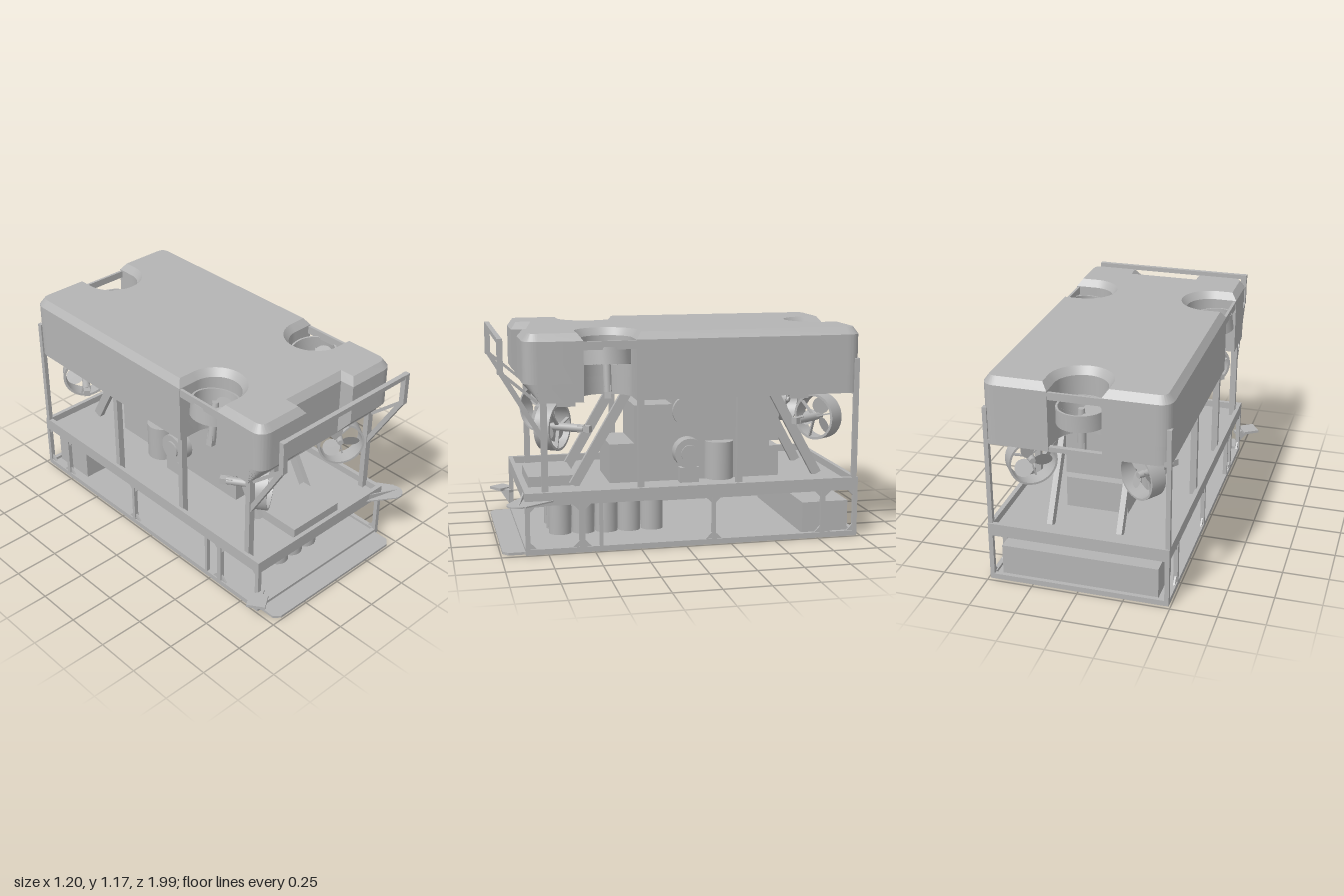
import * as THREE from 'three';
import { toCreasedNormals } from 'three/addons/utils/BufferGeometryUtils.js';

const grey = new THREE.MeshStandardMaterial({ color: 0xb4b4b4, side: THREE.DoubleSide });
grey.name = 'grey';
const V = (x, y, z) => new THREE.Vector3(x, y, z);

export function createModel() {
  const root = new THREE.Group();
  root.name = 'underwaterVehicle';

  function add(name, geo, parent = root) {
    const m = new THREE.Mesh(geo, grey);
    m.name = name;
    parent.add(m);
    return m;
  }
  // box from its limits on each axis
  function box(name, x0, x1, y0, y1, z0, z1) {
    const m = add(name, new THREE.BoxGeometry(x1 - x0, y1 - y0, z1 - z0));
    m.position.set((x0 + x1) / 2, (y0 + y1) / 2, (z0 + z1) / 2);
    return m;
  }
  // square bar between two points
  function beam(name, a, b, w, h = w) {
    const m = add(name, new THREE.BoxGeometry(w, h, a.distanceTo(b)));
    m.position.copy(a).lerp(b, 0.5);
    m.lookAt(b);
    return m;
  }
  function cylinder(name, r, h, x, y, z, axis = 'y') {
    const g = new THREE.CylinderGeometry(r, r, h, 32);
    if (axis === 'x') g.rotateZ(Math.PI / 2);
    if (axis === 'z') g.rotateX(Math.PI / 2);
    const m = add(name, g);
    m.position.set(x, y, z);
    return m;
  }
  // upright extrusion of a plan outline drawn as (x, -z)
  function slab(name, shape, y, options) {
    const g = new THREE.ExtrudeGeometry(shape, { bevelEnabled: false, curveSegments: 20, ...options });
    g.rotateX(-Math.PI / 2).translate(0, y, 0);
    return add(name, toCreasedNormals(g, 0.5));
  }
  // small triangular plate in the side plane
  function gusset(x, y, z, dy, dz) {
    const s = new THREE.Shape([new THREE.Vector2(0, 0), new THREE.Vector2(dz, 0), new THREE.Vector2(0, dy)]);
    const g = new THREE.ExtrudeGeometry(s, { depth: 0.01, bevelEnabled: false });
    add('gusset', g.rotateY(-Math.PI / 2).translate(x + 0.005, y, z));
  }

  // Float block: plan outline with three round thruster bays and a front notch
  const W = 0.49, F = -0.865, B = 0.98, r = 0.08, P = Math.PI;
  const plan = new THREE.Shape();
  plan.moveTo(0.175, F);
  plan.lineTo(W - r, F);
  plan.quadraticCurveTo(W, F, W, F + r);
  plan.lineTo(W, -0.55);
  plan.lineTo(0.37, -0.55);
  plan.absarc(0.37, -0.41, 0.14, -P / 2, P / 2, true);
  plan.lineTo(W, -0.27);
  plan.lineTo(W, B - r);
  plan.quadraticCurveTo(W, B, W - r, B);
  plan.lineTo(0.14, B);
  plan.absarc(0, 0.87, 0.14, 0, P, true);
  plan.lineTo(-0.14, B);
  plan.lineTo(r - W, B);
  plan.quadraticCurveTo(-W, B, -W, B - r);
  plan.lineTo(-W, -0.27);
  plan.lineTo(-0.37, -0.27);
  plan.absarc(-0.37, -0.41, 0.14, P / 2, -P / 2, true);
  plan.lineTo(-W, -0.55);
  plan.lineTo(-W, F + r);
  plan.quadraticCurveTo(-W, F, r - W, F);
  plan.lineTo(-0.175, F);
  plan.lineTo(-0.175, -0.78);
  plan.lineTo(0.175, -0.78);
  plan.closePath();
  slab('floatTop', plan, 1.13, { depth: 0.001, bevelEnabled: true, bevelThickness: 0.04, bevelSize: 0.03, bevelOffset: -0.03, bevelSegments: 1 });
  slab('floatBody', plan, 0.91, { depth: 0.22 });
  // lower part slopes back under the nose
  const lower = slab('floatLower', plan, 0.81, { depth: 0.1 });
  const lp = lower.geometry.attributes.position;
  for (let i = 0; i < lp.count; i++) {
    if (lp.getY(i) < 0.85) lp.setZ(i, Math.min(lp.getZ(i), 0.78));
  }
  lower.geometry = toCreasedNormals(lower.geometry, 0.5);

  // Ducted thruster, opening along dir, with a motor behind the propeller
  const duct = [[0.13, -0.045], [0.13, 0.045], [0.119, 0.045], [0.116, -0.045], [0.13, -0.045]]
    .map(p => new THREE.Vector2(...p));
  function thruster(name, pos, dir) {
    const t = new THREE.Group();
    t.name = name;
    t.position.copy(pos);
    t.quaternion.setFromUnitVectors(V(0, 0, 1), dir.clone().normalize());
    root.add(t);
    add('duct', toCreasedNormals(new THREE.LatheGeometry(duct, 40).rotateX(P / 2), 0.5), t);
    add('hub', new THREE.CylinderGeometry(0.016, 0.022, 0.06, 20).rotateX(P / 2), t);
    add('motor', new THREE.CylinderGeometry(0.022, 0.022, 0.16, 20).rotateX(P / 2).translate(0, 0, -0.11), t);
    for (let i = 0; i < 3; i++) {
      const blade = new THREE.CircleGeometry(1, 20);
      blade.scale(0.047, 0.05, 1).rotateY(0.5).translate(0, 0.064, 0).rotateZ(i * 2 * P / 3 + 0.3);
      add('blade', blade, t);
      const strut = new THREE.BoxGeometry(0.008, 0.105, 0.02);
      add('strut', strut.translate(0, 0.066, -0.035).rotateZ(i * 2 * P / 3 + 1.3), t);
    }
    add('motorBracket', new THREE.BoxGeometry(0.035, 0.035, 0.07).translate(0, 0, -0.19), t);
  }
  for (const s of [-1, 1]) {
    for (const e of [-1, 1]) {
      thruster('horizontalThruster', V(s * 0.3, 0.655, e > 0 ? 0.695 : -0.805), V(-s * 0.57, 0, e * 0.82));
      box('thrusterHanger', s * 0.36 - 0.015, s * 0.36 + 0.015, 0.77, 0.81, e > 0 ? 0.58 : -0.72, e > 0 ? 0.68 : -0.62);
    }
    thruster('verticalThruster', V(s * 0.37, 1.035, 0.41), V(-s * 0.14, 1, 0));
  }
  thruster('rearVerticalThruster', V(0, 0.98, -0.865), V(0, 1, 0));

  // Side frames, mirrored
  for (const s of [-1, 1]) {
    const x = s * 0.478;
    beam('deckRail', V(x, 0.3, 0.87), V(x, 0.3, -0.98), 0.024, 0.07);
    beam('skidRail', V(x, 0.015, 0.87), V(x, 0.015, -0.98), 0.024, 0.03);
    for (const [z, w] of [[0.858, 0.024], [0.568, 0.03], [0.465, 0.018], [-0.155, 0.02], [-0.78, 0.025], [-0.968, 0.024]]) {
      box('lowerPost', x - 0.012, x + 0.012, 0.02, 0.28, z - w / 2, z + w / 2);
      for (const d of [-1, 1]) {
        if (Math.abs(z) > 0.85 && d * z > 0) continue;
        if (w < 0.02) continue;
        gusset(x, 0.265, z + d * w / 2, -0.035, d * 0.035);
        gusset(x, 0.03, z + d * w / 2, 0.035, d * 0.035);
      }
    }
    const u = s * 0.453;
    for (const z of [0.76, 0.243, -0.303]) {
      box('upperPost', u - 0.018, u + 0.018, 0.3, 0.83, z - 0.016, z + 0.016);
    }
    box('rearPost', x - 0.012, x + 0.012, 0.28, 1.0, -0.972, -0.945);
    beam('bayRail', V(s * 0.48, 1.105, 0.24), V(s * 0.48, 1.105, 0.58), 0.016, 0.045);
    // inner diagonal braces
    beam('frontBrace', V(s * 0.19, 0.81, 0.27), V(s * 0.19, 0.3, 0.57), 0.03, 0.055);
    beam('rearBrace', V(s * 0.19, 0.81, -0.56), V(s * 0.19, 0.3, -0.84), 0.03, 0.055);
    // bumper supports
    beam('bumperPost', V(u, 1.15, 0.98), V(u, 0.965, 0.98), 0.03);
    beam('bumperStay', V(u, 0.975, 0.98), V(u, 0.62, 0.768), 0.026);
    beam('bumperStay', V(u, 0.975, 0.98), V(u, 0.81, 0.79), 0.026, 0.015);
    // side pods
    cylinder('sidePod', 0.085, 0.08, s * 0.215, 0.46, -0.075, 'x');
    cylinder('upperPod', 0.085, 0.06, s * 0.17, 0.69, -0.075, 'x');
    cylinder('podCap', 0.05, 0.01, s * 0.26, 0.46, -0.075, 'x');
    box('podFoot', s * 0.225 - 0.025, s * 0.225 + 0.025, 0.29, 0.38, -0.13, -0.02);
    cylinder('canister', 0.083, 0.215, s * 0.17, 0.407, -0.262);
  }
  beam('bumperBar', V(-0.47, 1.137, 0.98), V(0.47, 1.137, 0.98), 0.026);
  box('rearBayRail', -0.2, 0.2, 1.085, 1.125, -0.975, -0.96);
  for (const z of [0.858, -0.968]) {
    box('deckCrossRail', -0.49, 0.49, 0.265, 0.335, z - 0.012, z + 0.012);
    box('skidCrossRail', -0.49, 0.49, 0, 0.03, z - 0.012, z + 0.012);
  }
  box('topCrossRail', -0.47, 0.47, 0.8, 0.83, 0.745, 0.775);
  box('rearCrossRail', -0.49, 0.49, 0.8, 0.825, -0.972, -0.945);

  // Deck and base plates
  box('deck', -0.475, 0.475, 0.275, 0.295, -0.97, 0.86);
  const base = new THREE.Shape([[0.49, 0.98], [-0.49, 0.98], [-0.49, -0.85], [-0.465, -0.875], [-0.465, -0.96], [-0.43, -0.99],
    [0.43, -0.99], [0.465, -0.96], [0.465, -0.875], [0.49, -0.85]].map(p => new THREE.Vector2(...p)));
  slab('basePlate', base, 0, { depth: 0.014 });

  // Equipment on the deck
  box('mainHousing', -0.168, 0.175, 0.29, 0.81, -0.56, 0.01);
  box('rearHousingUpper', -0.168, 0.175, 0.5, 0.78, -0.615, -0.56);
  box('rearHousingLower', -0.168, 0.175, 0.29, 0.47, -0.615, -0.56);
  box('lowHousing', -0.168, 0.175, 0.29, 0.515, 0.01, 0.365);
  box('midHousing', -0.168, 0.175, 0.515, 0.73, 0.01, 0.225);
  box('frontTray', -0.17, 0.175, 0.29, 0.352, 0.56, 0.82);

  // Equipment below the deck
  for (let i = 0; i < 3; i++) {
    for (let j = 0; j < 5; j++) {
      cylinder('ballastBottle', 0.064, 0.19, (i - 1) * 0.112 + 0.004, 0.108, 0.64 - j * 0.131);
    }
  }
  box('rearLocker', -0.425, 0.43, 0.01, 0.19, -0.945, -0.68);

  // Rounded shelf on the left front corner
  const shelf = new THREE.Shape();
  shelf.moveTo(0.32, -0.84);
  shelf.lineTo(0.49, -0.72);
  shelf.lineTo(0.592, -0.875);
  shelf.absarc(0.537, -0.91, 0.06, 0.5, -P * 0.65, true);
  shelf.closePath();
  slab('cornerShelf', shelf, 0.284, { depth: 0.008 });
  const web = new THREE.Shape([[0, 0], [0.27, 0], [0, 0.045]].map(p => new THREE.Vector2(...p)));
  const rib = add('shelfRib', new THREE.ExtrudeGeometry(web, { depth: 0.008, bevelEnabled: false }));
  rib.position.set(0.32, 0.29, 0.845);
  rib.rotation.y = -0.25;

  // Square sensor plate and bracket on the right front corner
  const plate = add('sensorPlate', new THREE.BoxGeometry(0.1, 0.016, 0.1));
  plate.position.set(-0.535, 0.134, 0.912);
  plate.rotation.y = 0.6;
  beam('sensorArm', V(-0.53, 0.127, 0.91), V(-0.455, 0.127, 0.86), 0.035, 0.016);
  const tri = new THREE.Shape([[0, 0], [-0.1, 0], [0, -0.08]].map(p => new THREE.Vector2(...p)));
  const bracket = add('sensorBracket', new THREE.ExtrudeGeometry(tri, { depth: 0.012, bevelEnabled: false }));
  bracket.position.set(-0.47, 0.127, 0.862);
  bracket.rotation.y = 0.6;

  return root;
}
